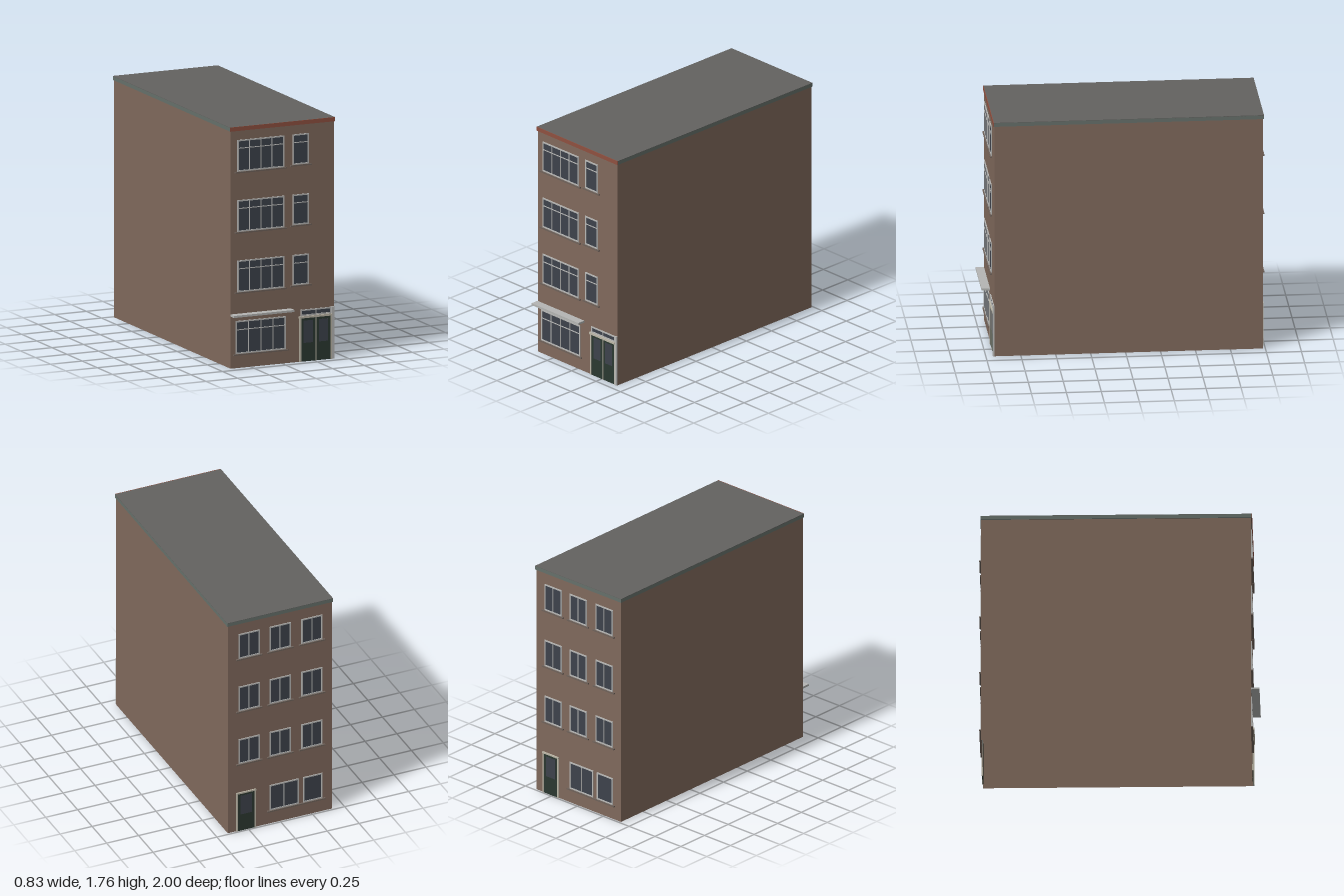
import * as THREE from 'three';

const mat = (color, side = THREE.FrontSide) => new THREE.MeshStandardMaterial({ color, side });
const M = {
  brick: mat(0x80695c, THREE.DoubleSide), roof: mat(0x636260), trim: mat(0x66706a), fascia: mat(0x8f5040),
  frame: mat(0xb8b8b6), glass: mat(0x3d424b), sill: mat(0x6f625a), canopy: mat(0xb4b5b3),
  door: mat(0x2b3830), doorFrame: mat(0xbdb8a8),
};

// Box given by its min and max on each axis
function box(parent, name, material, [x0, x1], [y0, y1], [z0, z1]) {
  const m = new THREE.Mesh(new THREE.BoxGeometry(x1 - x0, y1 - y0, z1 - z0), material);
  m.position.set((x0 + x1) / 2, (y0 + y1) / 2, (z0 + z1) / 2);
  m.name = name;
  parent.add(m);
  return m;
}

function rect(Type, x0, x1, y0, y1) {
  const s = new Type();
  s.moveTo(x0, y0);
  s.lineTo(x1, y0);
  s.lineTo(x1, y1);
  s.lineTo(x0, y1);
  s.closePath();
  return s;
}

// Window on the wall plane z = 0: pierced frame, glass and optional sill
function addWindow(parent, name, x0, x1, y0, y1, { columns = 1, transom = 0, sill = true } = {}) {
  const g = new THREE.Group();
  g.name = name;
  const edge = 0.01, bar = 0.006;
  const shape = rect(THREE.Shape, x0, x1, y0, y1);
  const pitch = (x1 - x0 - 2 * edge + bar) / columns;
  const rows = transom
    ? [[y0 + edge, transom - bar / 2], [transom + bar / 2, y1 - edge]]
    : [[y0 + edge, y1 - edge]];
  for (let c = 0; c < columns; c++) {
    const left = x0 + edge + c * pitch;
    for (const [b, t] of rows) shape.holes.push(rect(THREE.Path, left, left + pitch - bar, b, t));
  }
  const frame = new THREE.Mesh(new THREE.ExtrudeGeometry(shape, { depth: 0.006, bevelEnabled: false }), M.frame);
  frame.name = 'windowFrame';
  g.add(frame);
  box(g, 'windowGlass', M.glass, [x0 + 0.004, x1 - 0.004], [y0 + 0.004, y1 - 0.004], [-0.002, 0.002]);
  if (sill) box(g, 'windowSill', M.sill, [x0 - 0.019, x1 + 0.019], [y0 - 0.01, y0], [-0.002, 0.014]);
  parent.add(g);
}

// Door leaf with a glazed upper panel
function addLeaf(parent, x0, x1, top) {
  box(parent, 'doorLeaf', M.door, [x0, x1], [0, top], [-0.002, 0.004]);
  box(parent, 'doorGlass', M.glass, [x0 + 0.021, x1 - 0.021], [0.135, top - 0.02], [0, 0.005]);
}

export function createModel() {
  const model = new THREE.Group();
  model.name = 'townHouse';

  // Wall shell, open at the bottom and capped by the roof slab
  const walls = box(model, 'walls', M.brick, [-0.408, 0.408], [0, 1.735], [-0.985, 0.94]);
  const index = Array.from(walls.geometry.index.array);
  index.splice(12, 12);
  walls.geometry.setIndex(index);
  walls.geometry.clearGroups();

  // Roof slab with coloured front fascia
  box(model, 'roofEdge', M.trim, [-0.414, 0.414], [1.73, 1.757], [-0.99, 0.943]);
  box(model, 'roofSurface', M.roof, [-0.414, 0.414], [1.755, 1.76], [-0.99, 0.943]);
  box(model, 'frontFascia', M.fascia, [-0.414, 0.414], [1.73, 1.76], [0.943, 0.947]);

  // Front facade
  const front = new THREE.Group();
  front.name = 'frontFacade';
  front.position.z = 0.94;
  model.add(front);
  for (let floor = 0; floor < 3; floor++) {
    const y = 0.553 + floor * 0.4395;
    addWindow(front, 'wideWindow', -0.356, 0.014, y, y + 0.231, { columns: 4, transom: y + 0.17 });
    addWindow(front, 'narrowWindow', 0.081, 0.209, y + 0.009, y + 0.231, { transom: y + 0.17 });
  }
  addWindow(front, 'shopWindow', -0.37, 0.028, 0.103, 0.344, { columns: 4, transom: 0.279 });
  box(front, 'canopy', M.canopy, [-0.41, 0.068], [0.381, 0.396], [0, 0.06]);

  // Double entrance door with fanlight
  const entrance = new THREE.Group();
  entrance.name = 'entrance';
  front.add(entrance);
  addLeaf(entrance, 0.146, 0.261, 0.318);
  addLeaf(entrance, 0.266, 0.379, 0.318);
  for (const [a, b] of [[0.134, 0.147], [0.26, 0.267], [0.378, 0.39]])
    box(entrance, 'doorPost', M.doorFrame, [a, b], [0, 0.32], [-0.002, 0.008]);
  box(entrance, 'doorLintel', M.doorFrame, [0.13, 0.39], [0.317, 0.332], [-0.002, 0.014]);
  addWindow(entrance, 'fanlight', 0.144, 0.386, 0.332, 0.379, { columns: 2, sill: false });
  box(entrance, 'sidePilaster', M.frame, [0.389, 0.408], [0, 0.382], [-0.002, 0.01]);

  // Back facade, turned round so its local x runs the other way
  const back = new THREE.Group();
  back.name = 'backFacade';
  back.position.z = -0.985;
  back.rotation.y = Math.PI;
  model.add(back);
  for (let floor = 0; floor < 3; floor++) {
    const y = 0.56 + floor * 0.4395;
    for (const x of [-0.243, 0, 0.249])
      addWindow(back, 'backWindow', x - 0.083, x + 0.083, y, y + 0.205, { columns: 2 });
  }
  addWindow(back, 'backGroundWindow', -0.083, 0.145, 0.11, 0.32, { columns: 2 });
  addWindow(back, 'backGroundWindow', 0.18, 0.332, 0.11, 0.32);

  // Back door
  const backDoor = new THREE.Group();
  backDoor.name = 'backDoor';
  back.add(backDoor);
  addLeaf(backDoor, -0.332, -0.2, 0.31);
  for (const x of [-0.343, -0.201])
    box(backDoor, 'doorPost', M.doorFrame, [x, x + 0.012], [0, 0.32], [-0.002, 0.008]);
  box(backDoor, 'doorLintel', M.doorFrame, [-0.343, -0.189], [0.308, 0.32], [-0.002, 0.009]);

  return model;
}
